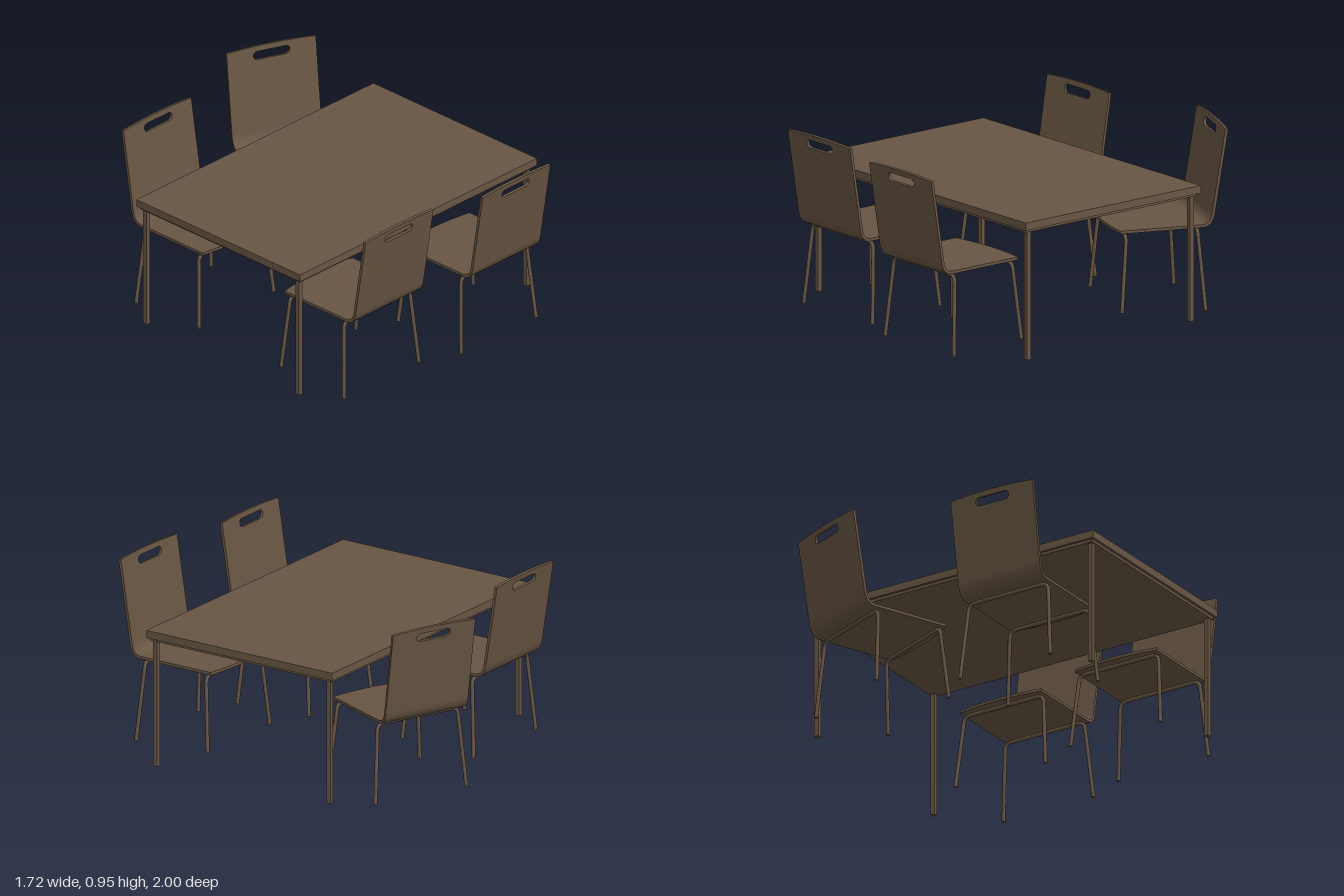
import * as THREE from 'three';
import { toCreasedNormals } from 'three/addons/utils/BufferGeometryUtils.js';

const WIDTH = 0.49, THICK = 0.015;

export function createModel() {
  const brown = new THREE.MeshStandardMaterial({ color: 0x685644 });
  brown.name = 'brown wood';

  const add = (parent, name, geometry, x = 0, y = 0, z = 0) => {
    const mesh = new THREE.Mesh(geometry, brown);
    mesh.name = name;
    mesh.position.set(x, y, z);
    parent.add(mesh);
    return mesh;
  };
  const extrude = (shape, depth) => new THREE.ExtrudeGeometry(shape, { depth, bevelEnabled: false, curveSegments: 12 });

  // Back panel: bowed top edge and a rounded handle slot
  function backGeometry() {
    const h = WIDTH / 2, s = new THREE.Shape();
    s.moveTo(-h, 0).lineTo(h, 0).lineTo(h, 0.438);
    s.quadraticCurveTo(0, 0.458, -h, 0.438);
    const slot = new THREE.Path(), r = 0.022, y = 0.397, x = 0.1 - r;
    slot.absarc(x, y, r, -Math.PI / 2, Math.PI / 2, false);
    slot.absarc(-x, y, r, Math.PI / 2, Math.PI * 1.5, false);
    s.holes.push(slot);
    return toCreasedNormals(extrude(s, THICK), 0.6);
  }

  // Curved strip between back and seat, extruded across the chair
  function bendGeometry() {
    const s = new THREE.Shape();
    s.moveTo(0.07, 0.51);
    s.quadraticCurveTo(0.0812, 0.44, 0.14, 0.44);
    s.lineTo(0.14, 0.455);
    s.quadraticCurveTo(0.094, 0.455, 0.0848, 0.5124);
    const g = extrude(s, WIDTH).rotateY(-Math.PI / 2).translate(WIDTH / 2, 0, 0);
    return toCreasedNormals(g, 0.6);
  }

  // Seat panel with a bowed front edge
  function seatGeometry() {
    const h = WIDTH / 2, s = new THREE.Shape();
    s.moveTo(-h, 0.14).lineTo(h, 0.14).lineTo(h, 0.568);
    s.quadraticCurveTo(0, 0.616, -h, 0.568);
    return toCreasedNormals(extrude(s, THICK).rotateX(Math.PI / 2).translate(0, 0.455, 0), 0.6);
  }

  // Bent tube: two splayed legs joined by a bar under the seat
  function legFrameGeometry(yFoot, zFoot, zTop) {
    const p = (x, y, z) => new THREE.Vector3(x, y, z);
    const path = new THREE.CurvePath();
    const pts = [p(-0.27, yFoot, zFoot), p(-0.24, 0.395, zTop), p(-0.237, 0.43, zTop), p(-0.2, 0.43, zTop)];
    const m = pts.map(v => p(-v.x, v.y, v.z));
    path.add(new THREE.LineCurve3(pts[0], pts[1]));
    path.add(new THREE.QuadraticBezierCurve3(pts[1], pts[2], pts[3]));
    path.add(new THREE.LineCurve3(pts[3], m[3]));
    path.add(new THREE.QuadraticBezierCurve3(m[3], m[2], m[1]));
    path.add(new THREE.LineCurve3(m[1], m[0]));
    return new THREE.TubeGeometry(path, 72, 0.01, 10, false);
  }

  const back = backGeometry(), bend = bendGeometry(), seat = seatGeometry();
  const frames = [
    { name: 'rear', y: 0.022, zFoot: 0.128, zTop: 0.158 },
    { name: 'front', y: 0.042, zFoot: 0.568, zTop: 0.538 },
  ].map(f => ({ ...f, geometry: legFrameGeometry(f.y, f.zFoot, f.zTop) }));
  const foot = new THREE.CylinderGeometry(0.0105, 0.0105, 0.012, 10);

  // Chair: top of the back at local z = 0, seat reaching toward +z
  function chair(name, x, z, turn) {
    const g = new THREE.Group();
    g.name = name;
    add(g, 'backrest', back, 0, 0.51, 0.07).rotation.x = -0.159;
    add(g, 'seatBend', bend);
    add(g, 'seat', seat);
    for (const f of frames) {
      add(g, f.name + 'LegFrame', f.geometry);
      for (const side of [-1, 1]) add(g, f.name + 'Foot', foot, side * 0.27, f.y, f.zFoot);
    }
    g.position.set(x, 0, z);
    g.rotation.y = turn;
    return g;
  }

  const model = new THREE.Group();
  model.name = 'diningSet';

  // Table
  const table = new THREE.Group();
  table.name = 'table';
  add(table, 'tableTop', new THREE.BoxGeometry(1.715, 0.04, 1.145), 0, 0.704, 0.048);
  add(table, 'apron', new THREE.BoxGeometry(1.685, 0.016, 1.116), 0, 0.677, 0.048);
  for (const x of [-0.823, 0.823]) {
    for (const z of [-0.486, 0.582]) {
      const bottom = x > 0 && z > 0 ? 0 : 0.018;
      add(table, 'tableLeg', new THREE.BoxGeometry(0.025, 0.67 - bottom, 0.025), x, (0.67 + bottom) / 2, z);
    }
  }
  model.add(table);

  // Four chairs, one pulled out and turned
  model.add(chair('frontRightChair', -0.43, 0.906, Math.PI));
  model.add(chair('frontLeftChair', 0.322, 0.998, Math.PI));
  model.add(chair('backRightChair', -0.43, -0.806, 0));
  model.add(chair('backLeftChair', 0.5025, -0.905, -0.391));
  return model;
}
